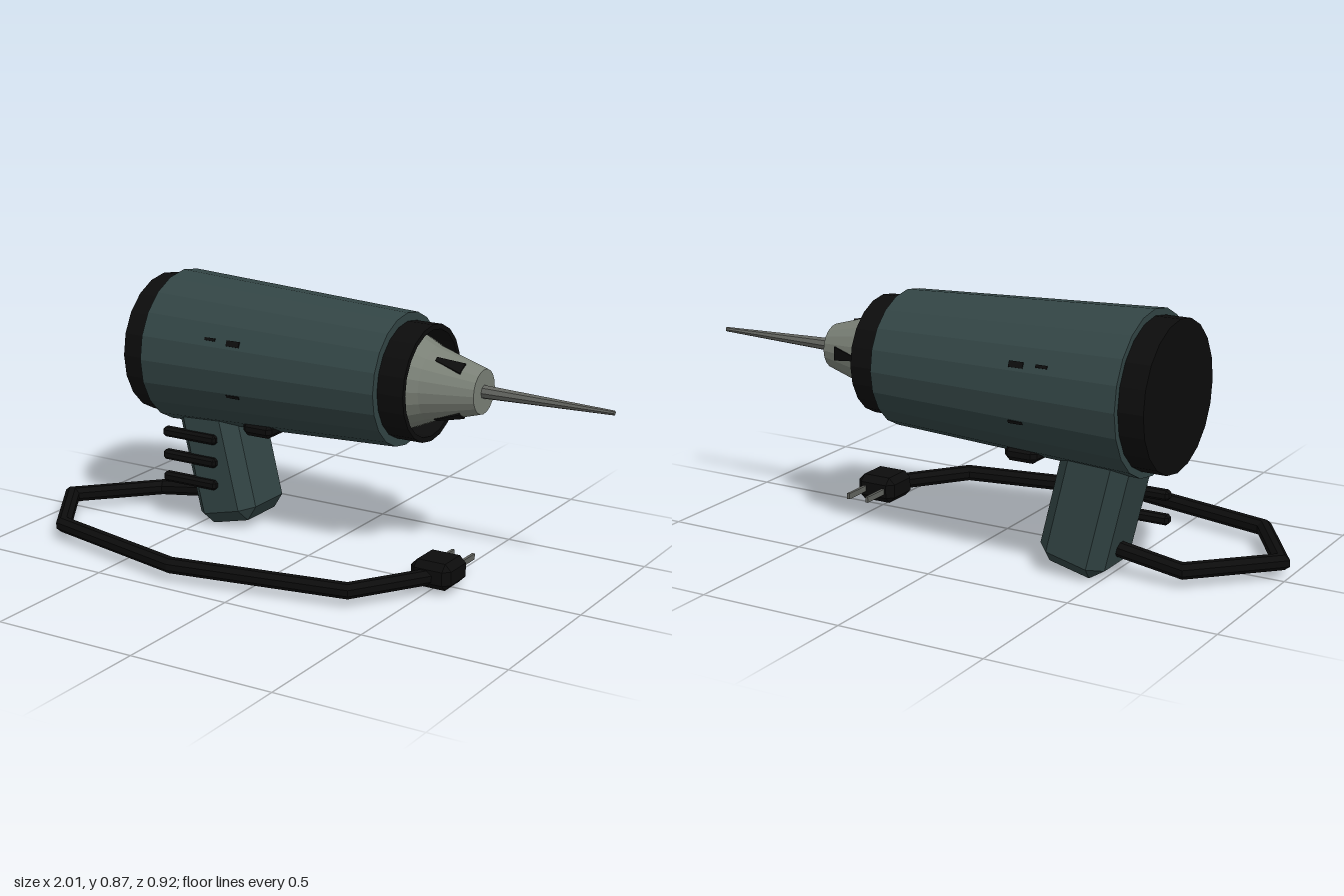
import * as THREE from 'three';
import { ConvexGeometry } from 'three/addons/geometries/ConvexGeometry.js';

const AXIS_Y = 0.605, AXIS_Z = -0.195;
const V = (x, y, z) => new THREE.Vector3(x, y, z);

// Split faces so that every facet is shaded flat
function faceted(geometry) {
  const flat = geometry.index ? geometry.toNonIndexed() : geometry;
  flat.computeVertexNormals();
  return flat;
}

// Turned part around the barrel axis, profile given as [x, radius] pairs
function turned(profile, sides) {
  const points = profile.map(([x, r]) => new THREE.Vector2(r, x));
  const g = new THREE.LatheGeometry(points, sides);
  g.rotateZ(-Math.PI / 2);
  g.translate(0, AXIS_Y, AXIS_Z);
  return faceted(g);
}

// Box with every edge cut off by c
function chamferBox(w, h, d, c) {
  const pts = [];
  for (const sx of [-1, 1]) for (const sy of [-1, 1]) for (const sz of [-1, 1]) {
    const x = sx * w / 2, y = sy * h / 2, z = sz * d / 2;
    pts.push(V(x - sx * c, y - sy * c, z), V(x - sx * c, y, z - sz * c), V(x, y - sy * c, z - sz * c));
  }
  return new ConvexGeometry(pts);
}

// Round tube with mitred corners along a mostly level path
function mitredTube(path, radius, sides) {
  const pos = [], index = [];
  path.forEach((p, i) => {
    const a = path[Math.max(i - 1, 0)], b = path[Math.min(i + 1, path.length - 1)];
    const d1 = (i ? p.clone().sub(a) : b.clone().sub(p)).setY(0).normalize();
    const d2 = (i < path.length - 1 ? b.clone().sub(p) : p.clone().sub(a)).setY(0).normalize();
    const t = d1.clone().add(d2).normalize();
    const side = V(-t.z, 0, t.x).multiplyScalar(1 / t.dot(d1));
    for (let k = 0; k < sides; k++) {
      const q = (k + 0.5) / sides * Math.PI * 2;
      pos.push(p.x + side.x * radius * Math.cos(q), p.y + radius * Math.sin(q), p.z + side.z * radius * Math.cos(q));
      if (i < path.length - 1) {
        const m = i * sides + k, n = i * sides + (k + 1) % sides;
        index.push(m, n, m + sides, n, n + sides, m + sides);
      }
    }
  });
  const g = new THREE.BufferGeometry();
  g.setAttribute('position', new THREE.Float32BufferAttribute(pos, 3));
  g.setIndex(index);
  return faceted(g);
}

export function createModel() {
  const group = new THREE.Group();
  const material = (name, color, extra = {}) => {
    const m = new THREE.MeshStandardMaterial({ color, ...extra });
    m.name = name;
    return m;
  };
  const casing = material('dark teal casing', 0x324444);
  const black = material('black rubber', 0x0c0c0c, { side: THREE.DoubleSide });
  const steel = material('chuck steel', 0x7a8076);
  const darkSteel = material('drill bit steel', 0x62645f);
  const add = (name, geometry, mat, x = 0, y = 0, z = 0) => {
    const mesh = new THREE.Mesh(geometry, mat);
    mesh.name = name;
    mesh.position.set(x, y, z);
    group.add(mesh);
    return mesh;
  };

  // Barrel, rear cap, collar, chuck and bit share one axis
  add('body', turned([[-0.63, 0], [-0.63, 0.265], [0.26, 0.225], [0.26, 0]], 20), casing);
  add('rearCap', turned([[-0.715, 0], [-0.715, 0.243], [-0.62, 0.243]], 20), black);
  add('collar', turned([[0.255, 0.197], [0.355, 0.197], [0.355, 0.18], [0.255, 0.18]], 20), black);
  add('chuck', turned([[0.255, 0.165], [0.3, 0.158], [0.37, 0.126], [0.545, 0.075], [0.545, 0]], 20), steel);
  add('drillBit', turned([[0.54, 0.023], [1, 0.008], [1, 0]], 8), darkSteel);

  // Three tapered slots around the chuck
  for (const angle of [Math.PI, Math.PI / 3, -Math.PI / 3]) {
    const pts = [];
    for (const [x, r, w] of [[0.4, 0.117, 0.008], [0.49, 0.091, 0.023]])
      for (const s of [-1, 1]) for (const lift of [-0.005, 0.003]) pts.push(V(x, s * w, r + lift));
    const slot = add('chuckSlot', new ConvexGeometry(pts), black, 0, AXIS_Y, AXIS_Z);
    slot.rotation.x = -angle;
  }

  // Small vents on both flanks of the body
  for (const flank of [1, -1]) {
    for (const [x, dy, w, h, r] of [[-0.365, 0.1, 0.04, 0.01, 0.25], [-0.275, 0.095, 0.05, 0.02, 0.246], [-0.275, -0.085, 0.05, 0.01, 0.246]]) {
      const tilt = Math.asin(dy / r);
      const vent = add('vent', new THREE.BoxGeometry(w, h, 0.009), black,
        x, AXIS_Y + dy, AXIS_Z + flank * r * Math.cos(tilt));
      vent.rotation.x = -flank * tilt;
    }
  }

  // Slanted grip with cut corners and a bevelled foot
  const gripPts = [];
  const ux = 0.97, uy = 0.236;
  for (const [along, inset] of [[0, 0.045], [0.045, 0], [0.42, 0]])
    for (const su of [-1, 1]) for (const sz of [-1, 1])
      for (const [cu, cz] of inset ? [[inset, inset]] : [[0.045, 0], [0, 0.045]]) {
        const u = su * (0.118 - cu);
        gripPts.push(V(-0.387 + u * ux - along * uy, 0.015 + u * uy + along * ux, AXIS_Z + sz * (0.13 - cz)));
      }
  add('grip', new ConvexGeometry(gripPts), casing);

  // Bars beside the grip
  for (const y of [0.32, 0.237, 0.156])
    add('gripBar', chamferBox(0.22, 0.034, 0.036, 0.009), black, -0.52, y, -0.063);

  // Trigger under the body
  add('trigger', chamferBox(0.115, 0.05, 0.3, 0.016), black, -0.24, 0.385, AXIS_Z);

  // Power cord
  add('cord', mitredTube([V(-0.48, 0.09, -0.2), V(-0.745, 0.052, -0.205), V(-0.975, 0.05, 0.03),
    V(-0.8, 0.05, 0.302), V(-0.26, 0.05, 0.43), V(0.345, 0.05, 0.322), V(0.52, 0.055, 0.07)], 0.027, 8), black);

  // Plug with two prongs
  add('plug', chamferBox(0.145, 0.09, 0.144, 0.022), black, 0.513, 0.06, 0.033);
  for (const x of [0.474, 0.549])
    add('prong', new THREE.BoxGeometry(0.01, 0.02, 0.11), darkSteel, x, 0.06, -0.085);

  return group;
}
